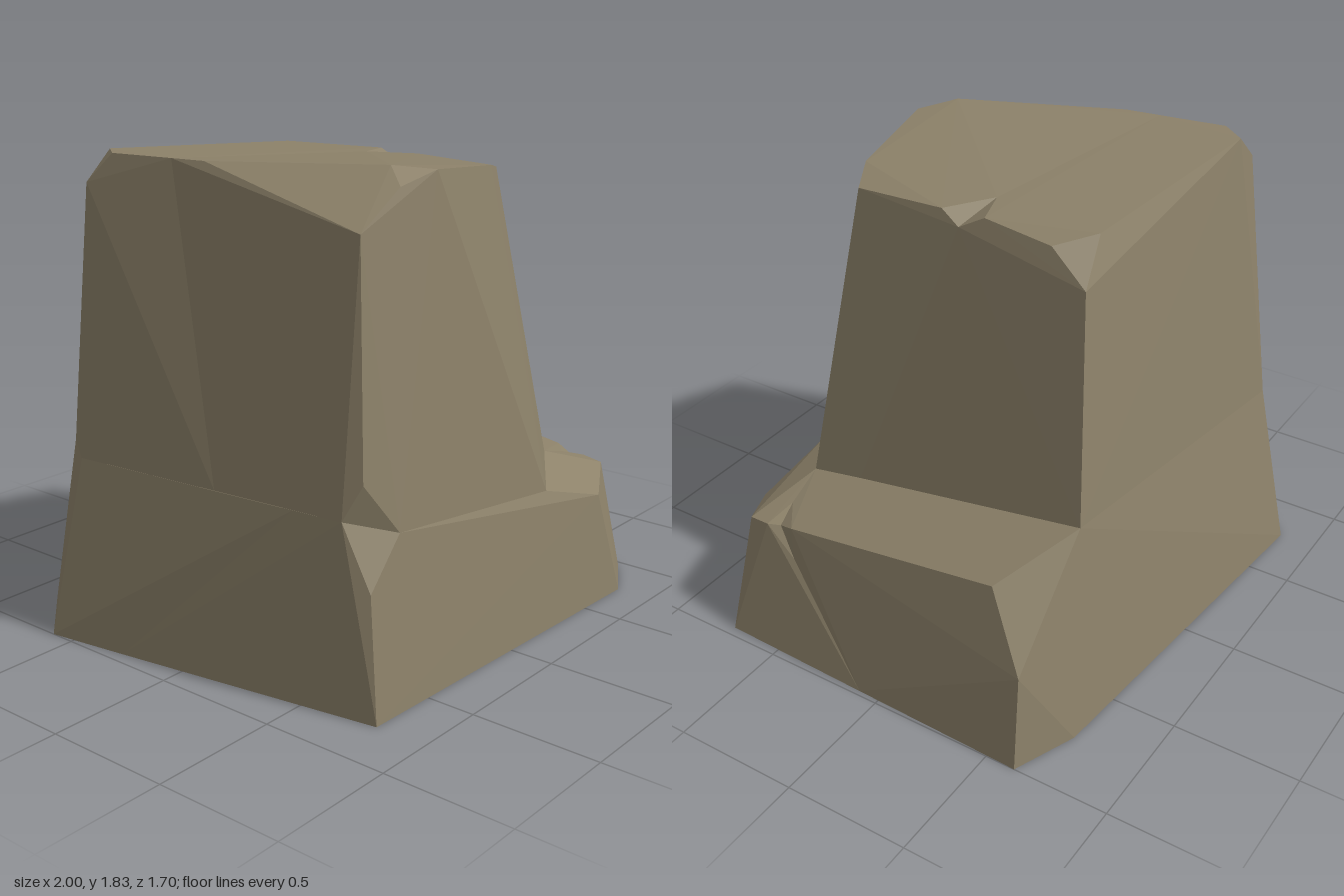
import * as THREE from 'three';
import { ConvexGeometry } from 'three/addons/geometries/ConvexGeometry.js';

const stone = new THREE.MeshStandardMaterial({ color: 0x8c8169 });
stone.name = 'stone';

// A faceted chunk of rock spanning the given corners.
function chunk(name, ...cornerSets) {
  const points = cornerSets.flat().map((c) => new THREE.Vector3(...c));
  const mesh = new THREE.Mesh(new ConvexGeometry(points), stone);
  mesh.name = name;
  return mesh;
}

export function createModel() {
  const rock = new THREE.Group();
  rock.name = 'rock';

  // Corners where the tall block meets the wider foot
  const waistFront = [[-0.76, 0.69, 0.63], [-0.57, 0.62, 0.73], [0.31, 0.53, 0.76], [0.56, 0.59, 0.59]];
  const waistBack = [[0.57, 0.8, -0.62], [-0.75, 0.7, -0.71], [-0.87, 0.69, -0.54]];

  // Foot: split along a slanted plane whose clipped corner leaves the ledge nick
  const footSplit = [
    [0.98, 0, 0.09], [-0.95, 0, -0.27], [-0.78, 0.69, 0.43], [0.56, 0.59, 0.59],
    [0.73, 0.54, 0.57], [0.83, 0.5, 0.55], [0.87, 0.4, 0.46],
  ];
  rock.add(chunk('footFront', footSplit, waistFront, [
    [-0.78, 0, 0.8], [0.75, 0, 0.85], [0.96, 0, 0.73],
    [-0.74, 0.45, 0.74], [0.64, 0.43, 0.8], [0.84, 0.49, 0.69], [0.85, 0.5, 0.6],
  ]));
  rock.add(chunk('footBack', footSplit, waistBack, [
    [-1, 0, -0.6], [-0.77, 0, -0.85], [0.75, 0, -0.72], [1, 0, -0.62],
    [0.94, 0.37, -0.6], [0.86, 0.66, -0.44], [0.85, 0.525, 0.48],
  ]));

  // Tall block: split the same way, leaving the crack in the top right edge
  const blockSplit = [
    [0.56, 0.62, 0.37], [-0.81, 0.69, 0.09], [-0.68, 1.82, -0.21],
    [0.19, 1.77, -0.03], [0.36, 1.71, 0.02], [0.42, 1.37, 0.13],
  ];
  rock.add(chunk('blockFront', blockSplit, waistFront, [
    [-0.72, 0.82, 0.69], [-0.64, 1.64, 0.61], [-0.43, 1.77, 0.61], [-0.25, 1.81, 0.63],
    [-0.38, 1.83, 0.53], [-0.66, 1.82, -0.07],
    [0.19, 1.77, 0.55], [0.34, 1.74, 0.47], [0.345, 1.757, 0.1],
  ]));
  rock.add(chunk('blockBack', blockSplit, waistBack, [
    [-0.76, 1.71, -0.57], [-0.72, 1.82, -0.47], [-0.64, 1.82, -0.57],
    [0.24, 1.77, -0.48], [0.4, 1.63, -0.52], [0.36, 1.74, -0.36], [0.345, 1.765, -0.08],
  ]));

  return rock;
}
